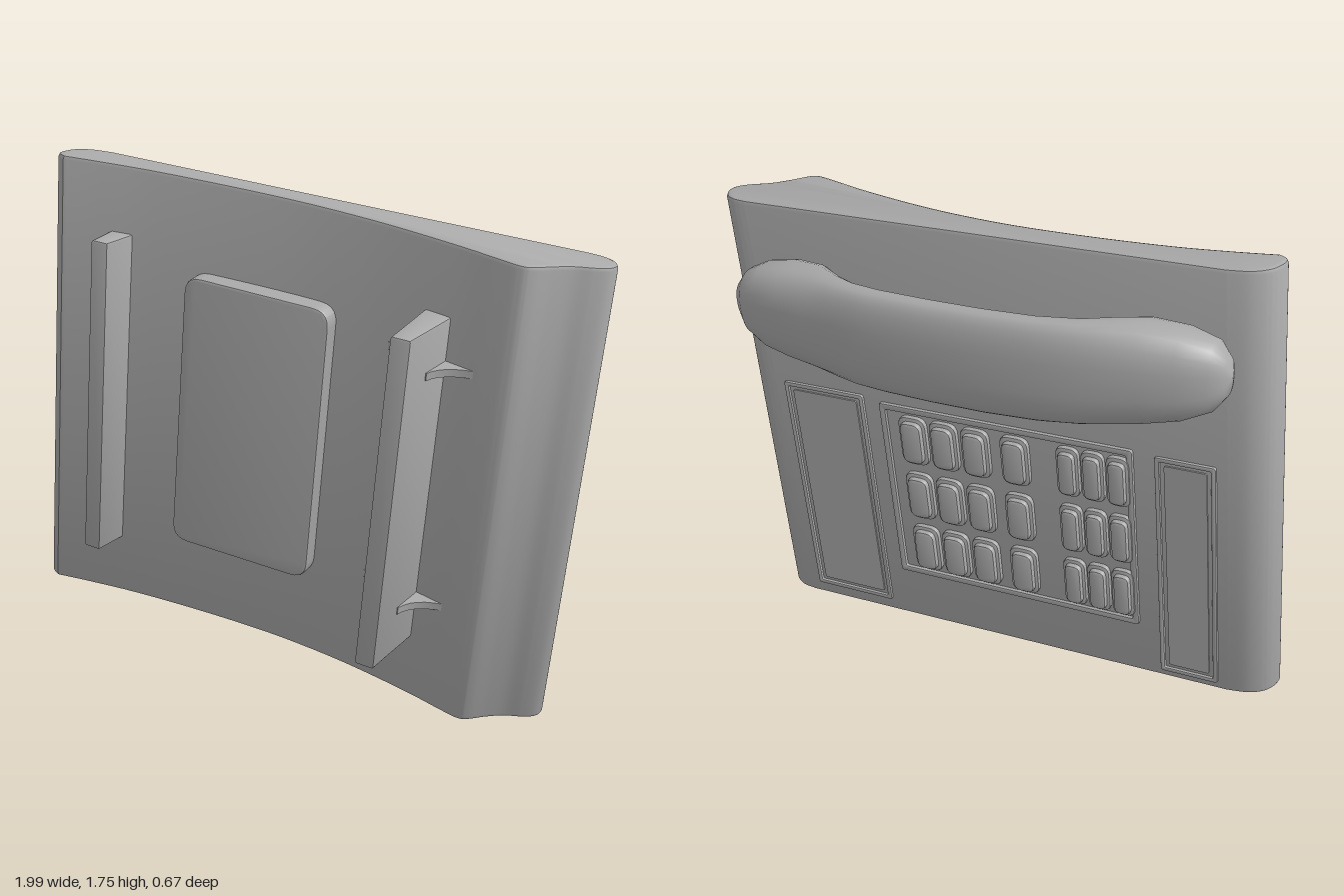
import * as THREE from 'three';
import { toCreasedNormals } from 'three/addons/utils/BufferGeometryUtils.js';

const grey = new THREE.MeshStandardMaterial({ color: 0xaaaaaa });
grey.name = 'grey plastic';

function add(parent, name, geometry, x = 0, y = 0, z = 0) {
  const mesh = new THREE.Mesh(geometry, grey);
  mesh.name = name;
  mesh.position.set(x, y, z);
  parent.add(mesh);
  return mesh;
}

function roundedRect(target, w, h, r) {
  const x = w / 2, y = h / 2;
  target.moveTo(-x + r, -y);
  target.lineTo(x - r, -y).quadraticCurveTo(x, -y, x, -y + r);
  target.lineTo(x, y - r).quadraticCurveTo(x, y, x - r, y);
  target.lineTo(-x + r, y).quadraticCurveTo(-x, y, -x, y - r);
  target.lineTo(-x, -y + r).quadraticCurveTo(-x, -y, -x + r, -y);
  return target;
}

// Rounded plate rising along +z; with a rim width it becomes an open frame
function plate(w, h, r, depth, bevel, rim = 0) {
  const shape = roundedRect(new THREE.Shape(), w, h, r);
  if (rim) shape.holes.push(roundedRect(new THREE.Path(), w - 2 * rim, h - 2 * rim, r / 2));
  const g = new THREE.ExtrudeGeometry(shape, {
    depth: depth - bevel, bevelEnabled: bevel > 0, bevelSize: bevel, bevelThickness: bevel,
    bevelOffset: -bevel, bevelSegments: 2, curveSegments: 5,
  });
  return toCreasedNormals(g, 0.5);
}

// Profile drawn in x and -z, swept along y and centred there
function sweep(shape, length, bevel = 0) {
  const g = new THREE.ExtrudeGeometry(shape, {
    depth: length - 2 * bevel, bevelEnabled: bevel > 0, bevelSize: bevel, bevelThickness: bevel,
    bevelOffset: -bevel, bevelSegments: 2, curveSegments: 6,
  });
  g.translate(0, 0, bevel - length / 2);
  g.rotateX(-Math.PI / 2);
  return toCreasedNormals(g, 0.5);
}

const pts = (list) => list.map(([x, z]) => new THREE.Vector2(x, -z));

// Wavy housing: hollowed underside with a ridge, nearly flat key side
function bodyGeometry() {
  const s = new THREE.Shape();
  s.moveTo(-0.89, -0.086);
  s.splineThru(pts([[-0.76, 0.062], [-0.58, 0.036], [-0.33, 0.017], [-0.08, 0.011], [0.12, 0.022],
    [0.29, 0.043], [0.49, 0.08], [0.62, 0.112], [0.69, 0.126], [0.725, 0.113], [0.77, 0.07],
    [0.82, 0.03], [0.875, 0.003], [0.912, -0.025], [0.923, -0.06], [0.905, -0.095],
    [0.87, -0.115], [0.82, -0.121]]));
  s.lineTo(-0.78, 0.057);
  s.splineThru(pts([[-0.85, -0.042], [-0.9, -0.01], [-0.923, 0.035], [-0.92, 0.068], [-0.89, 0.086]]));
  return sweep(s, 1.585, 0.014);
}

// Handset stations: x, outer z, inner z, half width
const STATIONS = [
  [-0.825, -0.12, -0.11, 0.002], [-0.813, -0.16, -0.075, 0.06], [-0.775, -0.2, -0.045, 0.11],
  [-0.69, -0.24, -0.04, 0.145], [-0.58, -0.268, -0.06, 0.165], [-0.5, -0.286, -0.105, 0.17],
  [-0.4, -0.306, -0.17, 0.172], [-0.27, -0.325, -0.21, 0.174], [-0.1, -0.34, -0.226, 0.175],
  [0.08, -0.346, -0.23, 0.175], [0.25, -0.344, -0.228, 0.175], [0.35, -0.339, -0.215, 0.175],
  [0.43, -0.332, -0.175, 0.173], [0.52, -0.324, -0.11, 0.17], [0.62, -0.313, -0.09, 0.163],
  [0.72, -0.296, -0.1, 0.145], [0.79, -0.27, -0.115, 0.11], [0.828, -0.235, -0.14, 0.065],
  [0.84, -0.19, -0.18, 0.002],
];

function handsetGeometry() {
  const sides = 28, pos = [], index = [];
  const round = (t) => Math.sign(t) * Math.abs(t) ** 0.8;
  STATIONS.forEach(([x, outer, inner, half], i) => {
    for (let j = 0; j < sides; j++) {
      const a = (j / sides) * Math.PI * 2;
      pos.push(x, half * round(Math.cos(a)), (outer + inner) / 2 + ((inner - outer) / 2) * round(Math.sin(a)));
      if (i === STATIONS.length - 1) continue;
      const p = i * sides + j, q = i * sides + ((j + 1) % sides);
      index.push(p, q, p + sides, q, q + sides, p + sides);
    }
  });
  const g = new THREE.BufferGeometry();
  g.setAttribute('position', new THREE.Float32BufferAttribute(pos, 3));
  g.setIndex(index);
  g.computeVertexNormals();
  return g;
}

export function createModel() {
  const model = new THREE.Group();
  model.name = 'deskTelephone';
  const phone = new THREE.Group();
  phone.name = 'phone';
  phone.position.set(0, 0.882, 0);
  phone.rotation.set(0.0235, 0, -0.0976);
  model.add(phone);

  add(phone, 'housing', bodyGeometry());
  add(phone, 'handset', handsetGeometry(), 0, 0.48, 0);

  // Underside: raised cover and two long feet with one slanted wall
  add(phone, 'underCover', plate(0.515, 0.97, 0.06, 0.09, 0.008), -0.17, 0, -0.01);
  const foot = (name, left, baseRight, tipRight, tip) => add(phone, name, sweep(
    new THREE.Shape(pts([[left, 0], [left, tip], [tipRight, tip], [baseRight, 0]])), 1.135, 0.008), 0, -0.004, 0);
  foot('lowFoot', -0.725, -0.64, -0.668, 0.166);
  foot('tallFoot', 0.39, 0.492, 0.452, 0.32);

  // Concave braces at both ends of the tall foot
  const brace = new THREE.Shape();
  brace.moveTo(0.28, -0.02);
  brace.lineTo(0.28, -0.045);
  brace.quadraticCurveTo(0.37, -0.08, 0.4, -0.2);
  brace.lineTo(0.47, -0.2);
  brace.quadraticCurveTo(0.49, -0.12, 0.59, -0.1);
  brace.lineTo(0.59, -0.02);
  for (const y of [0.41, -0.41]) add(phone, 'footBrace', sweep(brace, 0.025), 0, y, 0);

  // Key side: everything lies on the gently sloping face and rises along -z
  const controls = new THREE.Group();
  controls.name = 'controls';
  controls.position.z = -0.088;
  controls.rotation.y = 0.04;
  phone.add(controls);
  const onFace = (name, geometry, x, y, z = 0.004) => add(controls, name, geometry.rotateY(Math.PI), x, y, z);

  onFace('keypadFrame', plate(0.897, 0.7, 0.012, 0.016, 0.004, 0.022), -0.03, -0.233);
  for (const [name, x, w, y] of [['wideCard', 0.632, 0.305, -0.305], ['narrowCard', -0.65, 0.2, -0.325]]) {
    onFace(name + 'Frame', plate(w, 0.87, 0.01, 0.014, 0.004, 0.016), x, y);
    onFace(name, plate(w - 0.06, 0.81, 0.008, 0.009, 0), x, y);
  }

  // Three rows: four dial keys and three narrow function keys
  for (const y of [-0.01, -0.235, -0.457]) {
    for (const x of [0.3, 0.187, 0.072, -0.07]) {
      onFace('dialKeyBase', plate(0.1, 0.185, 0.035, 0.02, 0.004), x, y);
      onFace('dialKey', plate(0.076, 0.158, 0.028, 0.038, 0.01), x, y);
    }
    for (const x of [-0.256, -0.342, -0.428]) {
      onFace('functionKeyBase', plate(0.078, 0.185, 0.03, 0.02, 0.004), x, y);
      onFace('functionKey', plate(0.056, 0.158, 0.022, 0.038, 0.01), x, y);
    }
  }
  return model;
}
